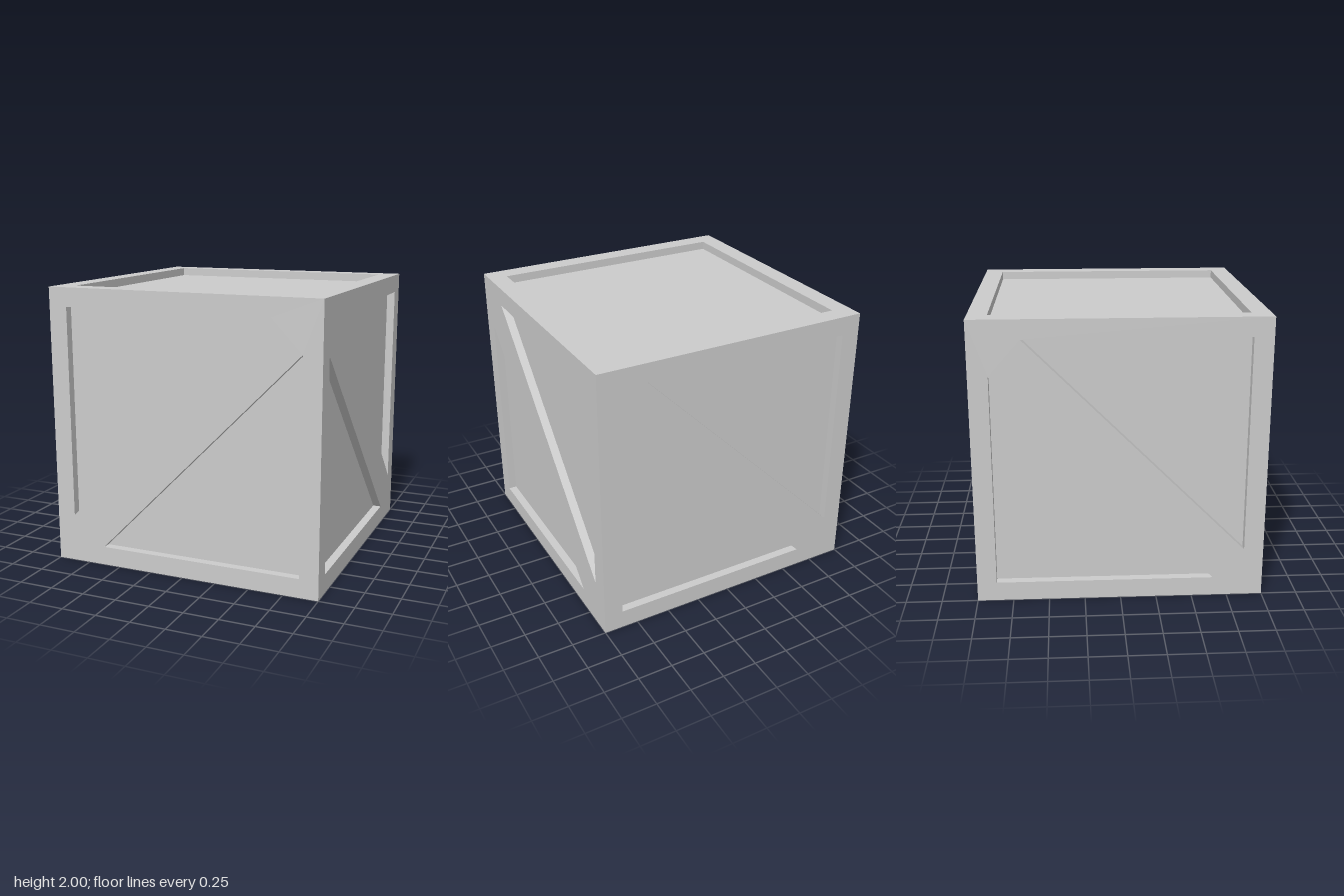
import * as THREE from 'three';

const HALF = 1;       // half the crate's edge
const RECESS = 0.06;  // depth of the sunken panels
const IN = 0.865;     // inner edge of the frame

const material = new THREE.MeshStandardMaterial({ color: 0xcccccc, flatShading: true });

const toPoints = (pairs) => {
  const points = pairs.map(([x, y]) => new THREE.Vector2(x, y));
  return THREE.ShapeUtils.isClockWise(points) ? points.reverse() : points;
};

function addMesh(group, geometry, name) {
  const mesh = new THREE.Mesh(geometry, material);
  mesh.name = name;
  group.add(mesh);
  return mesh;
}

// Inward-facing walls around one counter-clockwise opening
function recessWalls(points) {
  const positions = [];
  points.forEach((p, i) => {
    const q = points[(i + 1) % points.length];
    positions.push(p.x, p.y, HALF, q.x, q.y, HALF, q.x, q.y, HALF - RECESS);
    positions.push(p.x, p.y, HALF, q.x, q.y, HALF - RECESS, p.x, p.y, HALF - RECESS);
  });
  const geometry = new THREE.BufferGeometry();
  geometry.setAttribute('position', new THREE.Float32BufferAttribute(positions, 3));
  geometry.computeVertexNormals();
  return geometry;
}

// One crate side: flush frame, recess walls and sunken panels
function createSide(name, openings) {
  const side = new THREE.Group();
  side.name = name;
  const frame = new THREE.Shape(toPoints([[-HALF, -HALF], [HALF, -HALF], [HALF, HALF], [-HALF, HALF]]));
  for (const opening of openings) {
    const points = toPoints(opening);
    frame.holes.push(new THREE.Path(points));
    addMesh(side, recessWalls(points), 'recessWalls');
    addMesh(side, new THREE.ShapeGeometry(new THREE.Shape(points)), 'panel').position.z = HALF - RECESS;
  }
  addMesh(side, new THREE.ShapeGeometry(frame).translate(0, 0, HALF), 'frame');
  return side;
}

// Two triangles either side of a diagonal brace; mirror = -1 flips the brace,
// tip and peak are the far corners of the lower triangle
const braced = (mirror, tip, peak) => [
  [[-0.65, IN], [IN, IN], [IN, -0.655]],
  [[-IN, peak], [-IN, -IN], [tip, -IN]],
].map((triangle) => triangle.map(([x, y]) => [x * mirror, y]));

const square = [[[-IN, -IN], [IN, -IN], [IN, IN], [-IN, IN]]];

export function createModel() {
  const crate = new THREE.Group();
  crate.name = 'crate';
  const sides = [
    ['frontSide', braced(-1, 0.625, 0.64), 0, 0],
    ['rightSide', braced(1, 0.65, 0.62), 0, Math.PI / 2],
    ['backSide', braced(1, 0.625, 0.64), 0, Math.PI],
    ['leftSide', braced(1, 0.65, 0.62), 0, -Math.PI / 2],
    ['topSide', square, -Math.PI / 2, 0],
    ['bottomSide', square, Math.PI / 2, 0],
  ];
  for (const [name, openings, rx, ry] of sides) {
    const side = createSide(name, openings);
    side.rotation.set(rx, ry, 0);
    side.position.y = HALF;
    crate.add(side);
  }
  return crate;
}
